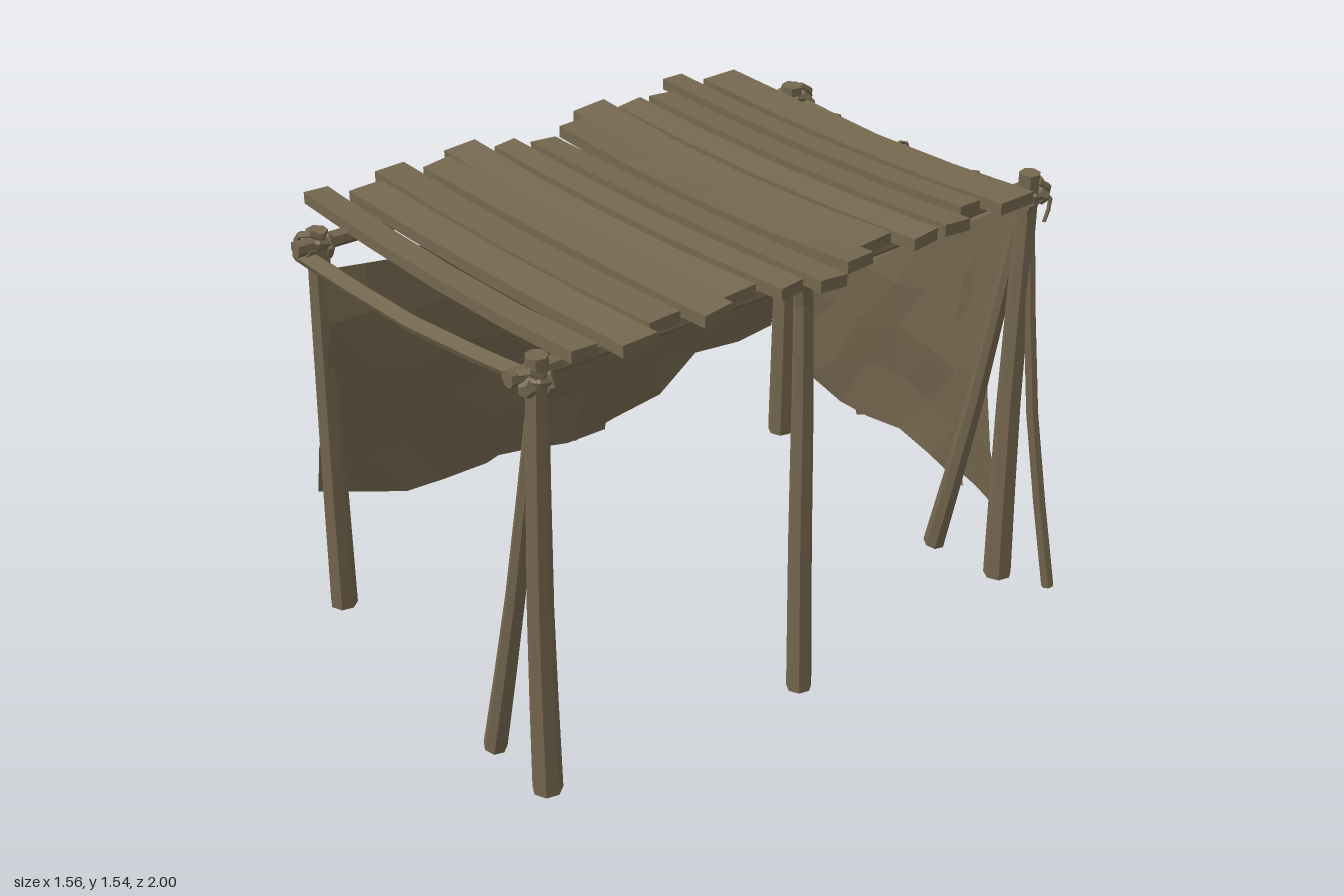
import * as THREE from 'three';

const wood = new THREE.MeshStandardMaterial({ color: 0x75674f, flatShading: true, side: THREE.DoubleSide });
wood.name = 'weatheredBrown';

const V = (x, y, z) => new THREE.Vector3(x, y, z);

// Small seeded random, -1..1
let seed = 7;
const rnd = () => {
  seed = (seed * 16807) % 2147483647;
  return (seed / 2147483647) * 2 - 1;
};

// Piecewise linear lookup through [position, value] pairs in rising order
function lerpTable(table, p) {
  if (p <= table[0][0]) return table[0][1];
  for (let i = 1; i < table.length; i++) {
    const [a, va] = table[i - 1], [b, vb] = table[i];
    if (p <= b) return va + (vb - va) * (p - a) / (b - a);
  }
  return table[table.length - 1][1];
}

export function createModel() {
  const model = new THREE.Group();
  const add = (name, geo) => {
    geo.computeVertexNormals();
    const m = new THREE.Mesh(geo, wood);
    m.name = name;
    model.add(m);
    return m;
  };

  // Tapered capped pole bent along a path that starts at its base
  function pole(name, points, rBase, rTop) {
    const curve = new THREE.CatmullRomCurve3(points);
    const geo = new THREE.CylinderGeometry(rTop, rBase, 1, 7, 4);
    const pos = geo.attributes.position;
    const q = new THREE.Quaternion();
    for (let i = 0; i < pos.count; i++) {
      const t = pos.getY(i) + 0.5;
      q.setFromUnitVectors(V(0, 1, 0), curve.getTangent(t));
      const p = V(pos.getX(i), 0, pos.getZ(i)).applyQuaternion(q).add(curve.getPoint(t));
      pos.setXYZ(i, p.x, p.y, p.z);
    }
    return add(name, geo);
  }

  // Posts
  pole('frontLeftPost', [V(-0.55, 0.07, 0.93), V(-0.55, 0.7, 0.925), V(-0.54, 1.41, 0.92)], 0.044, 0.034);
  pole('backLeftPost', [V(-0.515, 0.07, -0.85), V(-0.51, 0.7, -0.85), V(-0.5, 1.41, -0.85)], 0.044, 0.034);
  pole('frontRightPost', [V(0.595, 0.07, 0.93), V(0.59, 0.7, 0.93), V(0.6, 1.515, 0.92)], 0.046, 0.032);
  pole('backRightPost', [V(0.6, 0.07, -0.85), V(0.59, 0.7, -0.85), V(0.6, 1.515, -0.85)], 0.046, 0.032);
  pole('middleRightPost', [V(0.6, 0, -0.01), V(0.575, 0.7, -0.015), V(0.565, 1.3, -0.015), V(0.58, 1.46, 0.01)], 0.04, 0.026);

  // Slanting braces
  for (const [name, z] of [['frontBrace', 0.91], ['backBrace', -0.86]])
    pole(name, [V(0.29, 0.02, z), V(0.435, 0.65, z), V(0.58, 1.42, z)], 0.037, 0.022);
  pole('outerBackBrace', [V(0.75, 0.07, -0.93), V(0.665, 0.7, -0.88), V(0.6, 1.38, -0.86)], 0.02, 0.018);

  // Long roof beams and cross bars
  pole('leftBeam', [V(-0.53, 1.375, 1.0), V(-0.52, 1.355, 0), V(-0.51, 1.36, -0.93)], 0.026, 0.023);
  pole('rightBeam', [V(0.58, 1.46, 1.0), V(0.575, 1.435, 0), V(0.575, 1.455, -0.92)], 0.026, 0.023);
  pole('frontCrossBar', [V(-0.59, 1.325, 0.955), V(0, 1.345, 0.935), V(0.62, 1.435, 0.915)], 0.026, 0.024);
  pole('backCrossBar', [V(-0.6, 1.335, -0.89), V(0, 1.35, -0.875), V(0.62, 1.43, -0.865)], 0.024, 0.022);

  // Rope lashings where posts, beams and bars meet
  for (const [x, y, z] of [[-0.54, 1.375, 0.92], [0.595, 1.44, 0.92], [-0.505, 1.365, -0.86], [0.595, 1.44, -0.86]]) {
    const out = Math.sign(z);
    for (let i = 0; i < 3; i++) {
      const lash = add('lashing', new THREE.TorusGeometry(0.038, 0.011, 5, 7));
      lash.position.set(x, y - 0.015 + i * 0.012, z + out * (i - 1) * 0.025);
      lash.rotation.set([0, 1.3, 0.75][i], [0, 0.2, 0.7][i], i * 0.4);
    }
    const knot = add('knot', new THREE.DodecahedronGeometry(0.03));
    knot.position.set(x + 0.01, y - 0.01, z + out * 0.035);
    if (out < 0)
      pole('ropeEnd', [V(x, y, z - 0.04), V(x + 0.02, y - 0.03, z - 0.07), V(x + 0.02, y - 0.1, z - 0.05)], 0.009, 0.006);
  }

  // Hanging rings for the curtains
  for (const x of [-0.33, 0, 0.33]) {
    const ring = add('curtainRing', new THREE.TorusGeometry(0.042, 0.006, 5, 8));
    ring.position.set(x, 1.34 + x * 0.07, -0.88);
    ring.rotation.y = Math.PI / 2 + x * 0.4;
  }
  for (const z of [0.48, 0.13, -0.35, -0.65]) {
    const ring = add('curtainRing', new THREE.TorusGeometry(0.042, 0.006, 5, 8));
    ring.position.set(-0.52, 1.345, z);
    ring.rotation.y = z * 0.6;
  }

  // Roof planks, bowed and sagging: centre z, left end, right end, width
  const planks = [
    [-0.69, -0.70, 0.72, 0.12], [-0.565, -0.78, 0.65, 0.08], [-0.445, -0.69, 0.73, 0.09],
    [-0.325, -0.70, 0.73, 0.09], [-0.205, -0.76, 0.65, 0.12], [-0.09, -0.69, 0.72, 0.10],
    [0.06, -0.63, 0.78, 0.09], [0.165, -0.69, 0.73, 0.08], [0.29, -0.76, 0.66, 0.11],
    [0.41, -0.70, 0.72, 0.10], [0.54, -0.76, 0.65, 0.11], [0.67, -0.69, 0.72, 0.11], [0.80, -0.76, 0.65, 0.08]];
  for (const [z, x0, x1, w] of planks) {
    const geo = new THREE.BoxGeometry(x1 - x0, 0.038, w, 4, 1, 1);
    const pos = geo.attributes.position;
    const bow = -0.006 + rnd() * 0.008, skew = 0.006 + rnd() * 0.005, roll = rnd() * 0.1, cut = rnd() * 0.12;
    const sag = 0.026 + rnd() * 0.012;
    for (let i = 0; i < pos.count; i++) {
      const dz = pos.getZ(i), x = pos.getX(i) + (x0 + x1) / 2 + dz * cut, s = x / 0.75;
      const mid = 1 - s * s;
      pos.setXYZ(i, x, 1.45 + 0.077 * x - sag * mid + 0.008 + pos.getY(i) + dz * roll,
        z + dz + bow * mid + skew * s);
    }
    add('roofPlank', geo);
  }

  // Ragged curtain sheet: spans a..b, hangs between top and bottom edges
  function curtain(name, a, b, top, bottom, place) {
    const geo = new THREE.PlaneGeometry(1, 1, 5, 5);
    const pos = geo.attributes.position;
    for (let i = 0; i < pos.count; i++) {
      const u = pos.getX(i) + 0.5, v = 0.5 - pos.getY(i);
      const inner = u > 0.01 && u < 0.99 && v > 0.01 && v < 0.99 ? 1 : 0;
      const s = a + (b - a) * u + inner * rnd() * 0.02;
      const yT = lerpTable(top, s), yB = lerpTable(bottom, s);
      const y = yT + (yB - yT) * v + inner * rnd() * 0.03;
      const p = place(s, y, v, u, rnd() * 0.012 * (0.4 + v));
      pos.setXYZ(i, p.x, p.y, p.z);
    }
    return add(name, geo);
  }

  // Left side curtains: bulging inward below the beam, flaring outward to the hem
  const sideFlare = [[0, -0.525], [0.25, -0.49], [0.5, -0.535], [0.75, -0.6], [1, -0.645]];
  const sideSheets = [
    [0.18, 0.93, 0.012, [[0.18, 1.29], [0.6, 1.24], [0.93, 1.29]],
      [[0.18, 0.36], [0.4, 0.31], [0.62, 0.34], [0.93, 0.46]]],
    [-0.17, 0.61, -0.012, [[-0.17, 1.31], [0.12, 1.29], [0.3, 1.25], [0.5, 1.21], [0.61, 1.26]],
      [[-0.17, 0.25], [-0.05, 0.25], [0.1, 0.28], [0.25, 0.34], [0.4, 0.31], [0.61, 0.32]]],
    [-0.89, -0.06, 0.012, [[-0.89, 1.28], [-0.7, 1.26], [-0.35, 1.25], [-0.06, 1.3]],
      [[-0.89, 0.42], [-0.55, 0.43], [-0.35, 0.31], [-0.06, 0.26]]]];
  for (const [a, b, off, top, hem] of sideSheets)
    curtain('sideCurtain', a, b, top, hem, (s, y, v, u, n) =>
      V(lerpTable(sideFlare, v) + off + n, y, s + 0.03 * (u - 0.5) * v));

  // Back curtains, two overlapping sheets
  const backFlare = [[0.2, 1], [0.45, 0.6], [0.75, 0.25], [1.05, 0.08], [1.4, 0]];
  const backTop = [[-0.53, 1.29], [-0.2, 1.31], [0.1, 1.32], [0.35, 1.34], [0.55, 1.39]];
  const innerHem = [[-0.5, 0.27], [-0.3, 0.22], [-0.05, 0.29], [0.12, 0.29], [0.31, 0.23]];
  const outerHem = [[-0.28, 0.19], [-0.18, 0.26], [0, 0.3], [0.2, 0.28], [0.35, 0.24], [0.52, 0.19]];
  for (const [a, b, off, hem] of [[-0.5, 0.33, 0.01, innerHem], [-0.28, 0.52, -0.01, outerHem]])
    curtain('backCurtain', a, b, backTop, hem, (s, y, v, u, n) =>
      V(s - 0.28 * Math.max(0, s - 0.2) * Math.sin(Math.pow(v, 1.6) * Math.PI), y,
        -0.885 + off + n - (0.085 - 0.045 * s) * lerpTable(backFlare, y)));

  // Sagging canopy sheet under the rear half of the roof
  const canopy = new THREE.PlaneGeometry(1, 1, 6, 5);
  const cp = canopy.attributes.position;
  for (let i = 0; i < cp.count; i++) {
    const u = cp.getX(i) + 0.5, v = cp.getY(i) + 0.5;
    const belly = Math.pow(Math.sin(v * Math.PI), 0.6);
    const sag = Math.sin(u * Math.PI) * (0.035 + 0.06 * belly) + 0.025 * belly;
    cp.setXYZ(i, -0.51 + 1.08 * u, 1.36 + 0.06 * u - sag + rnd() * 0.006, -0.025 - 0.84 * v + rnd() * 0.01);
  }
  add('canopySheet', canopy);

  return model;
}
